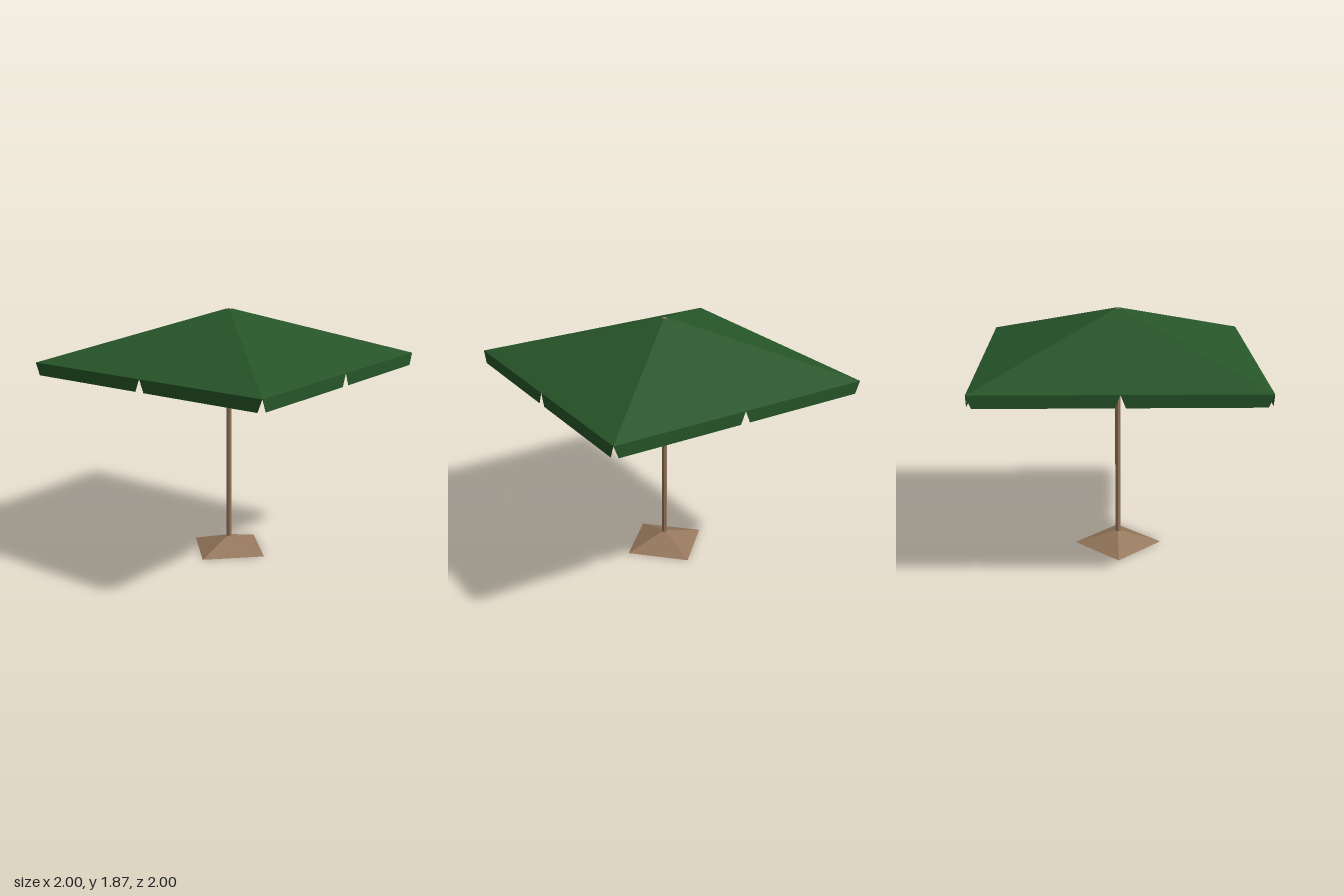
import * as THREE from 'three';

export function createModel() {
  const group = new THREE.Group();
  const fabric = new THREE.MeshStandardMaterial({ color: 0x265528, side: THREE.DoubleSide });
  fabric.name = 'greenFabric';
  const wood = new THREE.MeshStandardMaterial({ color: 0x94765a, side: THREE.DoubleSide });
  wood.name = 'brownWood';

  const add = (name, geometry, material, parent = group) => {
    const mesh = new THREE.Mesh(geometry, material);
    mesh.name = name;
    parent.add(mesh);
    return mesh;
  };
  // Open faceted tube or pyramid with its bottom at y0 and top at y1
  const faceted = (rTop, rBottom, y0, y1, sides, open = true) => {
    const g = new THREE.CylinderGeometry(rTop, rBottom, y1 - y0, sides, 1, open)
      .translate(0, (y0 + y1) / 2, 0).toNonIndexed();
    g.computeVertexNormals();
    return g;
  };

  // Base: shallow open pyramid with its corners on the axes
  add('base', faceted(0.02, 0.333, 0, 0.1, 4), wood);

  // Pole runs from the base to the canopy peak
  add('pole', faceted(0.02, 0.02, 0.08, 1.867, 8, false), wood);

  // Canopy: four sloping panels around the pole
  const rimY = 1.505, flapY = 1.415;
  add('canopy', faceted(0.02 * Math.SQRT2, Math.SQRT2, rimY, 1.868, 4).rotateY(Math.PI / 4), fabric);

  // Valance: two tapered flaps hang from every side of the rim
  const flapShape = new THREE.Shape([
    new THREE.Vector2(0, rimY), new THREE.Vector2(0.036, flapY),
    new THREE.Vector2(0.964, flapY), new THREE.Vector2(1, rimY),
  ]);
  const flapGeometry = new THREE.ShapeGeometry(flapShape);
  const valance = new THREE.Group();
  valance.name = 'valance';
  group.add(valance);

  // Struts: four diagonal braces from the pole to the canopy ridges
  const struts = new THREE.Group();
  struts.name = 'struts';
  group.add(struts);
  const up = new THREE.Vector3(0, 1, 0);

  for (let i = 0; i < 4; i++) {
    const side = new THREE.Group();
    side.name = 'valanceSide';
    side.rotation.y = i * Math.PI / 2;
    valance.add(side);
    for (const x of [-1, 0]) add('valanceFlap', flapGeometry, fabric, side).position.set(x, 0, 1);

    const a = Math.PI / 4 + i * Math.PI / 2;
    const start = new THREE.Vector3(0, 1.24, 0);
    const end = new THREE.Vector3(Math.sin(a) * 0.68, 1.68, Math.cos(a) * 0.68);
    const along = end.clone().sub(start);
    const strut = add('strut', faceted(0.01, 0.01, 0, along.length(), 6, false), wood, struts);
    strut.position.copy(start);
    strut.quaternion.setFromUnitVectors(up, along.normalize());
  }
  return group;
}
